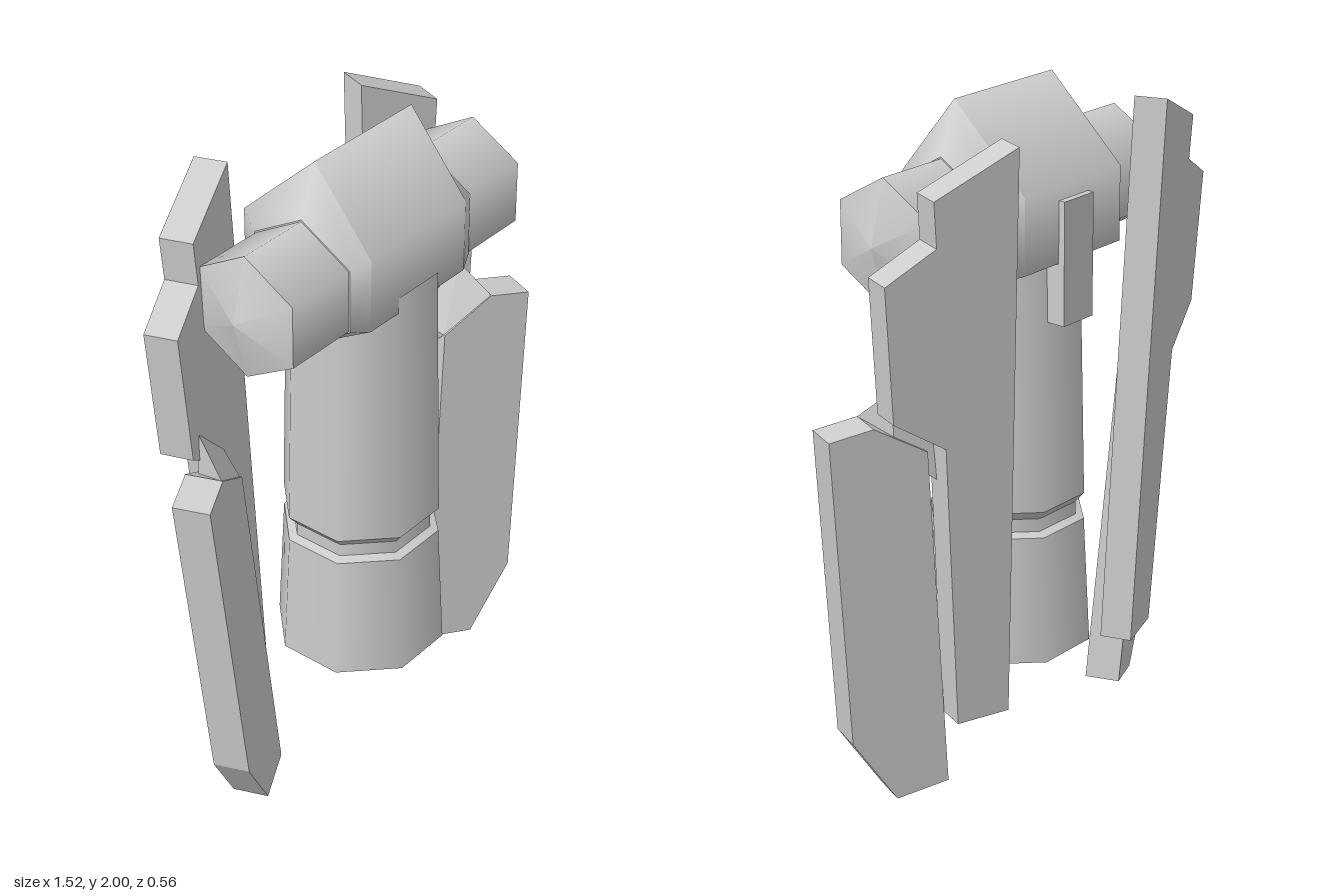
import * as THREE from 'three';
import { ConvexGeometry } from 'three/addons/geometries/ConvexGeometry.js';

const HUB_Y = 1.66, HUB_Z = 0.05;

// Smooth turned part with few sides; a repeated profile point makes a crease
function turned(profile, sides, start) {
  const pts = profile.map(([r, y]) => new THREE.Vector2(r, y));
  return new THREE.LatheGeometry(pts, sides, start);
}

// Hexagonal part lying along x, centred on the hub axis, one corner pointing up
function hexBar(profile) {
  return turned(profile, 6, Math.PI / 2).rotateZ(-Math.PI / 2).translate(0, HUB_Y, HUB_Z);
}

// Slab whose back face follows a slanted plane and whose front face is offset from it
function slab(points, planeZ, dx, dz) {
  const shape = new THREE.Shape(points.map(([x, y]) => new THREE.Vector2(x, y)));
  const geo = new THREE.ExtrudeGeometry(shape, { depth: 1, bevelEnabled: false });
  const p = geo.attributes.position;
  for (let i = 0; i < p.count; i++) {
    const x = p.getX(i), y = p.getY(i), t = p.getZ(i);
    p.setXYZ(i, x + dx * t, y, planeZ(x, y) + dz * t);
  }
  geo.computeVertexNormals();
  return geo;
}

export function createModel() {
  const model = new THREE.Group();
  model.name = 'device';
  const grey = new THREE.MeshStandardMaterial({ color: 0xcccccc, side: THREE.DoubleSide });
  grey.name = 'lightGrey';

  const add = (parent, name, geo) => {
    const mesh = new THREE.Mesh(geo, grey);
    mesh.name = name;
    parent.add(mesh);
    return mesh;
  };

  // Hub: hexagonal bar with tapered ends, raised ridge and deeper back
  const hub = hexBar([
    [0, -0.262], [0.19, -0.262], [0.19, -0.262], [0.22, -0.205], [0.22, -0.205],
    [0.22, 0.205], [0.22, 0.205], [0.19, 0.262], [0.19, 0.262], [0, 0.262],
  ]);
  const hp = hub.attributes.position;
  for (let i = 0; i < hp.count; i++) {
    if (Math.abs(hp.getX(i)) > 0.21) continue;
    if (hp.getY(i) > 1.85) hp.setY(i, 2);
    if (hp.getZ(i) < 0) hp.setZ(i, -0.2);
  }
  add(model, 'hub', hub);

  // Column: octagonal, flaring downward, with a narrow groove
  const a = 1 / Math.cos(Math.PI / 8);
  add(model, 'column', turned([
    [0, 0.335], [0.237 * a, 0.335], [0.237 * a, 0.335],
    [0.218 * a, 0.725], [0.218 * a, 0.725], [0.194 * a, 0.735], [0.194 * a, 0.735],
    [0.194 * a, 0.775], [0.194 * a, 0.775], [0.218 * a, 0.805], [0.218 * a, 0.805],
    [0.2 * a, 1.6],
  ], 8, Math.PI / 8).translate(0, 0, 0.043));

  // Clip on the back of the hub
  add(model, 'backClip', new THREE.BoxGeometry(0.125, 0.36, 0.07).translate(0, 1.55, -0.185));

  // Side assemblies, mirrored
  for (const side of [1, -1]) {
    const group = new THREE.Group();
    group.name = side > 0 ? 'leftSide' : 'rightSide';
    group.scale.x = side;
    model.add(group);

    add(group, 'pod', hexBar([
      [0.185, 0.25], [0.185, 0.49], [0.185, 0.49], [0, 0.54],
    ]));

    add(group, 'innerFin', slab([
      [0.315, 1.95], [0.553, 1.84], [0.542, 1.71], [0.685, 1.63],
      [0.653, 1.235], [0.5, 1.13], [0.44, 0.26], [0.283, 0.26],
    ], (x, y) => -0.275 + 0.34 * (x - 0.315) - 0.047 * (y - 1.95), -0.033, 0.09));

    add(group, 'outerFin', slab([
      [0.76, 1.18], [0.645, 1.2], [0.5, 1.105],
      [0.397, 0.03], [0.54, 0.005], [0.67, 0.22],
    ], (x, y) => 0.01 + 0.47 * (x - 0.76) - 0.075 * (y - 1.18), -0.04, 0.1));

    // Sloped bracket joining the two fins
    add(group, 'finBracket', new ConvexGeometry([
      [0.463, 1.105, -0.012], [0.608, 1.198, 0.055],
      [0.58, 1.29, -0.05], [0.425, 1.155, -0.12],
      [0.58, 1.1, -0.06], [0.45, 1.0, -0.12],
    ].map((v) => new THREE.Vector3(...v))));
  }
  return model;
}
